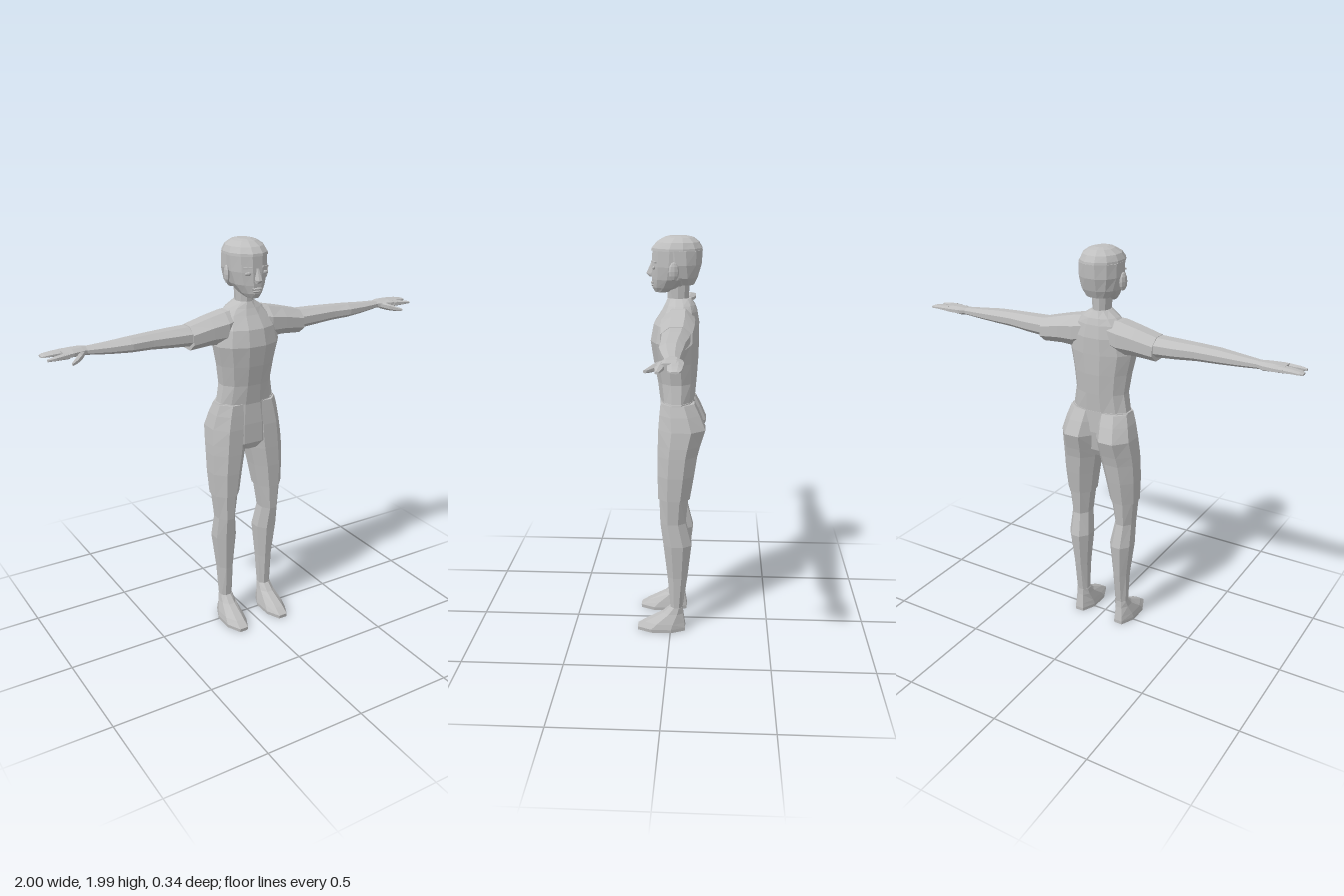
import * as THREE from 'three';

const grey = new THREE.MeshStandardMaterial({ color: 0xbfbfbf });
grey.name = 'plain grey';

// Faceted solid through rings [t, a0, a1, b0, b1]; t runs along y (a = x, b = z)
// or along x (a = y, b = z). side = -1 mirrors it in x.
function loft(rings, n = 8, axis = 'y', side = 1) {
  const pos = [], idx = [];
  const put = (t, a, b) => (axis === 'y' ? pos.push(side * a, t, b) : pos.push(side * t, a, b));
  const grow = 1 / Math.cos(Math.PI / n);
  for (const [t, a0, a1, b0, b1] of rings) {
    for (let i = 0; i < n; i++) {
      const ang = ((i + 0.5) / n) * Math.PI * 2;
      put(t, (a0 + a1) / 2 + Math.sin(ang) * grow * (a1 - a0) / 2,
        (b0 + b1) / 2 + Math.cos(ang) * grow * (b1 - b0) / 2);
    }
  }
  const last = (rings.length - 1) * n;
  for (let r = 0; r < last; r += n) {
    for (let i = 0; i < n; i++) {
      const j = (i + 1) % n;
      idx.push(r + i, r + j, r + n + j, r + i, r + n + j, r + n + i);
    }
  }
  for (let i = 1; i < n - 1; i++) {
    idx.push(0, i + 1, i, last, last + i, last + i + 1);
  }
  // Turn the faces outward if the enclosed volume comes out negative
  const p = (i) => new THREE.Vector3().fromArray(pos, i * 3);
  let volume = 0;
  for (let i = 0; i < idx.length; i += 3) volume += p(idx[i]).dot(p(idx[i + 1]).cross(p(idx[i + 2])));
  if (volume < 0) idx.reverse();
  const g = new THREE.BufferGeometry();
  g.setAttribute('position', new THREE.Float32BufferAttribute(pos, 3));
  g.setIndex(idx);
  return facet(g);
}

function facet(g) {
  const flat = g.index ? g.toNonIndexed() : g;
  flat.computeVertexNormals();
  return flat;
}

// Rings symmetric about x = 0: [y, half width, z back, z front]
const even = (rows) => rows.map(([y, w, b, f]) => [y, -w, w, b, f]);

export function createModel() {
  const model = new THREE.Group();
  const add = (name, geometry, parent = model) => {
    const m = new THREE.Mesh(geometry, grey);
    m.name = name;
    parent.add(m);
    return m;
  };
  const blob = (name, at, size, parent) => {
    const m = add(name, facet(new THREE.SphereGeometry(1, 8, 6)), parent);
    m.position.set(...at);
    m.scale.set(...size);
    return m;
  };

  // Body
  add('torso', loft(even([
    [1.19, 0.15, -0.11, 0.052], [1.3, 0.132, -0.12, 0.066], [1.4, 0.145, -0.127, 0.085],
    [1.5, 0.166, -0.13, 0.1], [1.58, 0.152, -0.13, 0.085], [1.64, 0.122, -0.12, 0.047],
    [1.67, 0.09, -0.11, 0.032], [1.7, 0.045, -0.09, 0.02]]), 12));
  add('pelvis', loft(even([
    [1.21, 0.154, -0.113, 0.053], [1.1, 0.182, -0.115, 0.06],
    [1.0, 0.185, -0.1, 0.061], [0.965, 0.07, -0.08, 0.045]]), 12));
  add('neck', loft(even([
    [1.62, 0.055, -0.095, 0.015], [1.7, 0.04, -0.08, 0.02], [1.79, 0.045, -0.085, 0.025]]), 10));

  // Head
  const head = new THREE.Group();
  head.name = 'head';
  model.add(head);
  add('face', loft(even([
    [1.728, 0.028, 0.015, 0.08], [1.75, 0.05, -0.055, 0.091], [1.79, 0.076, -0.105, 0.093],
    [1.85, 0.092, -0.132, 0.094], [1.93, 0.096, -0.138, 0.09]]), 12), head);
  add('hairTop', loft(even([
    [1.923, 0.1, -0.144, 0.096], [1.935, 0.099, -0.142, 0.094], [1.962, 0.086, -0.127, 0.071],
    [1.983, 0.056, -0.1, 0.035], [1.99, 0.03, -0.07, 0.01]]), 12), head);
  add('hairBack', loft(even([
    [1.765, 0.058, -0.105, -0.03], [1.8, 0.083, -0.122, 0], [1.86, 0.099, -0.14, 0.045],
    [1.925, 0.1, -0.144, 0.06]]), 12), head);
  add('nose', loft(even([
    [1.868, 0.007, 0.07, 0.097], [1.815, 0.014, 0.07, 0.121], [1.8, 0.015, 0.07, 0.104]]), 6), head);
  blob('upperLip', [0, 1.773, 0.089], [0.028, 0.007, 0.012], head);
  blob('lowerLip', [0, 1.761, 0.087], [0.023, 0.007, 0.012], head);

  for (const s of [1, -1]) {
    const half = new THREE.Group();
    half.name = s > 0 ? 'leftSide' : 'rightSide';
    model.add(half);

    blob('eye', [s * 0.044, 1.845, 0.083], [0.019, 0.009, 0.007], half);
    const brow = add('brow', facet(new THREE.BoxGeometry(0.045, 0.007, 0.008)), half);
    brow.position.set(s * 0.046, 1.872, 0.083);
    brow.rotation.set(0, s * 0.45, s * -0.08);
    const ear = blob('ear', [s * 0.102, 1.835, -0.014], [0.013, 0.043, 0.025], half);
    ear.rotation.y = s * 0.25;

    // Leg, with the seat forming two lobes at the back
    add('thigh', loft([
      [1.205, 0, 0.155, -0.113, 0.05], [1.15, 0, 0.172, -0.14, 0.055],
      [1.08, 0.003, 0.188, -0.168, 0.06], [1.0, 0.008, 0.195, -0.143, 0.062],
      [0.95, 0.016, 0.197, -0.13, 0.063], [0.85, 0.036, 0.198, -0.115, 0.063],
      [0.73, 0.056, 0.192, -0.095, 0.06]], 8, 'y', s), half);
    add('lowerLeg', loft([
      [0.75, 0.06, 0.188, -0.09, 0.055], [0.6, 0.081, 0.174, -0.075, 0.05],
      [0.48, 0.065, 0.178, -0.105, 0.035], [0.3, 0.08, 0.157, -0.085, 0.015],
      [0.12, 0.087, 0.149, -0.06, 0]], 8, 'y', s), half);
    add('foot', loft([
      [0.13, 0.085, 0.151, -0.062, 0.002], [0.095, 0.08, 0.157, -0.064, 0.04],
      [0.045, 0.07, 0.172, -0.071, 0.13], [0.018, 0.065, 0.177, -0.075, 0.17],
      [0, 0.067, 0.175, -0.074, 0.168]], 8, 'y', s), half);

    // Arm, with a sleeve ending in a small step
    add('sleeve', loft([
      [0.07, 1.52, 1.665, -0.11, 0.03], [0.12, 1.505, 1.66, -0.115, 0.045],
      [0.2, 1.51, 1.642, -0.115, 0.042], [0.305, 1.502, 1.615, -0.107, 0.037]], 8, 'x', s), half);
    add('arm', loft([
      [0.28, 1.52, 1.614, -0.1, 0.03], [0.4, 1.528, 1.611, -0.096, 0.027],
      [0.5, 1.536, 1.608, -0.085, 0.023], [0.6, 1.539, 1.603, -0.08, 0.024],
      [0.7, 1.545, 1.595, -0.074, 0.008], [0.81, 1.555, 1.588, -0.07, -0.014]], 8, 'x', s), half);

    // Hand
    add('palm', loft([
      [0.79, 1.556, 1.588, -0.07, -0.015], [0.82, 1.553, 1.592, -0.085, -0.008],
      [0.87, 1.556, 1.592, -0.093, 0.008], [0.915, 1.562, 1.588, -0.092, 0.012]], 8, 'x', s), half);
    add('fingers', loft([
      [0.89, 1.56, 1.589, -0.092, -0.026], [0.95, 1.564, 1.585, -0.09, -0.03],
      [0.985, 1.565, 1.58, -0.087, -0.033], [1.0, 1.566, 1.575, -0.078, -0.045]], 8, 'x', s), half);
    add('indexFinger', loft([
      [0.89, 1.558, 1.586, -0.022, 0.012], [0.95, 1.56, 1.58, -0.012, 0.018],
      [0.99, 1.562, 1.573, 0, 0.015]], 6, 'x', s), half);
    add('thumb', loft([
      [0.815, 1.555, 1.583, -0.04, -0.01], [0.845, 1.547, 1.577, -0.01, 0.028],
      [0.875, 1.543, 1.565, 0.024, 0.05], [0.9, 1.545, 1.557, 0.052, 0.066]], 6, 'x', s), half);
  }
  return model;
}
